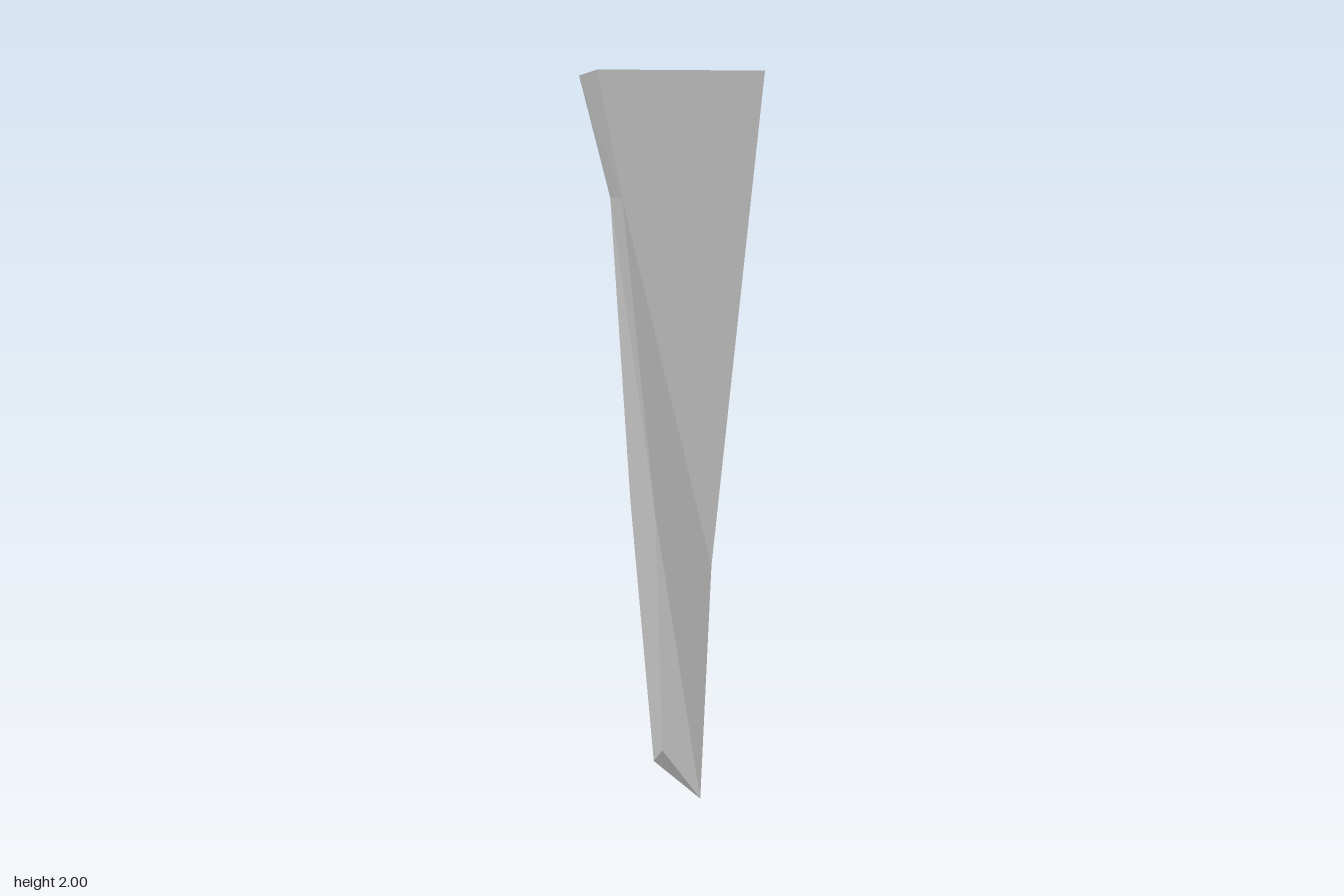
import * as THREE from 'three';

// Each long edge of the stake, from top to tip: [x, y, z]
const edges = [
  [[-0.21, 2, 0.195], [-0.147, 1.69, 0.166], [-0.06, 0.87, 0.135], [-0.03, 0.18, 0.07]], // front, -x
  [[0.208, 2, 0.195], [0.176, 1.6, 0.157], [0.105, 0.7, 0.07], [0.077, 0.03, 0.07]], // front, +x
  [[0.204, 2, -0.197], [0.125, 1.53, -0.12], [0.09, 0.72, -0.11], [0.078, 0.005, -0.05]], // back, +x
  [[-0.21, 2, -0.197], [-0.138, 1.68, -0.125], [-0.09, 0.85, -0.108], [-0.035, 0.1, -0.05]], // back, -x
];

function stakeGeometry() {
  const positions = [];
  // corners anticlockwise as seen from outside
  const quad = (a, b, c, d) => positions.push(...a, ...b, ...c, ...a, ...c, ...d);

  // four tapering sides
  edges.forEach((left, i) => {
    const right = edges[(i + 1) % 4];
    for (let j = 0; j < 3; j++) quad(left[j], left[j + 1], right[j + 1], right[j]);
  });

  // flat top and slanted tip
  quad(...edges.map((e) => e[0]));
  quad(...edges.map((e) => e[3]).reverse());

  const geometry = new THREE.BufferGeometry();
  geometry.setAttribute('position', new THREE.Float32BufferAttribute(positions, 3));
  geometry.computeVertexNormals();
  return geometry;
}

export function createModel() {
  const group = new THREE.Group();
  group.name = 'woodenStake';
  const material = new THREE.MeshStandardMaterial({ color: 0xcccccc, flatShading: true });
  const stake = new THREE.Mesh(stakeGeometry(), material);
  stake.name = 'stake';
  group.add(stake);
  return group;
}
